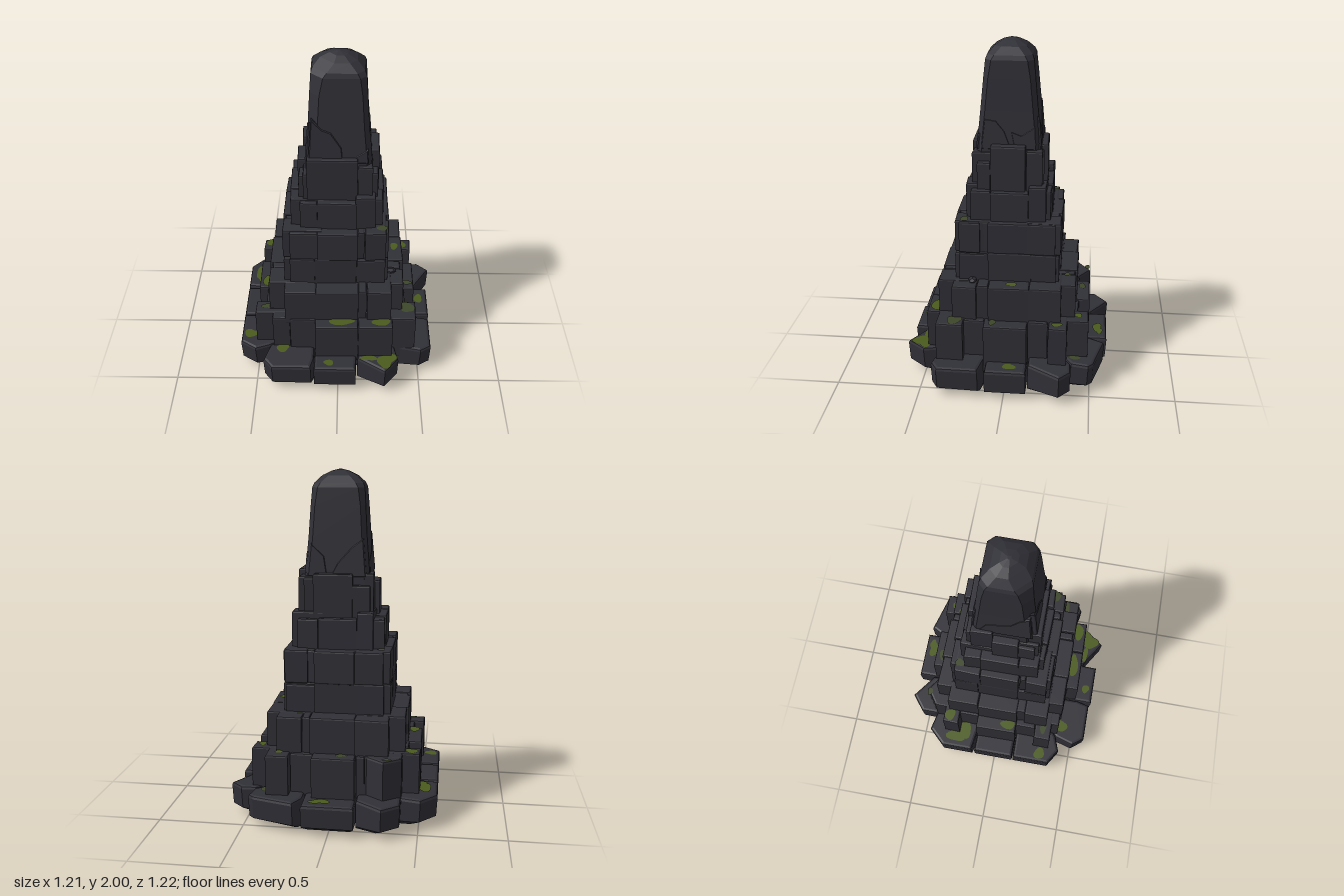
import * as THREE from 'three';
import { mergeGeometries } from 'three/addons/utils/BufferGeometryUtils.js';

const material = (name, color) => {
  const m = new THREE.MeshStandardMaterial({ color });
  m.name = name;
  return m;
};

export function createModel() {
  const model = new THREE.Group();
  const stone = material('dark stone', 0x303037);
  const moss = material('moss', 0x4a5b1d);
  const paleMoss = material('thin moss', 0x3d472a);

  let seed = 7;
  const rand = () => (seed = (seed * 16807) % 2147483647) / 2147483647;
  const wobble = (a) => (rand() - 0.5) * 2 * a;

  const add = (name, geometries, mat = stone) => {
    const mesh = new THREE.Mesh(mergeGeometries(geometries), mat);
    mesh.name = name;
    model.add(mesh);
  };

  // Bevelled stone from a plan outline of [x, z] points
  const prism = (points, y0, y1, bevel = 0.014) => {
    const shape = new THREE.Shape(points.map(([x, z]) => new THREE.Vector2(x, -z)));
    return new THREE.ExtrudeGeometry(shape, {
      depth: y1 - y0 - 2 * bevel, bevelThickness: bevel, bevelSize: bevel,
      bevelOffset: -bevel, bevelSegments: 2,
    }).rotateX(-Math.PI / 2).translate(0, y0 + bevel, 0);
  };

  // Slightly irregular block
  const block = (x0, x1, z0, z1, y0, y1) => prism(
    [[x0, z0], [x1, z0], [x1, z1], [x0, z1]].map(([x, z]) => [x + wobble(0.004), z + wobble(0.004)]),
    y0, y1 - rand() * 0.007, 0.01);

  // A row of blocks on one side; spans are [from, to, reach, optional top]
  const row = (side, spans, depth, y0, y1) => spans.map(([a, b, reach, top = y1]) => {
    const inner = depth + wobble(0.03);
    if (side === 'front') return block(a, b, inner, reach, y0, top);
    if (side === 'back') return block(a, b, -reach, -inner, y0, top);
    if (side === 'left') return block(inner, reach, a, b, y0, top);
    return block(-reach, -inner, a, b, y0, top);
  });
  const course = (name, y0, y1, inner, sides) =>
    add(name, Object.entries(sides).flatMap(([s, spans]) => row(s, spans, inner, y0, y1)));

  // Base ring of spreading foundation stones, corner stones undercut at the ground
  const foundation = [
    [[-0.147, -0.6], [0.15, -0.6], [0.152, -0.3], [-0.147, -0.3]],
    [[-0.4, -0.53], [-0.3, -0.61], [-0.15, -0.5], [-0.147, -0.3], [-0.32, -0.3], [-0.4, -0.4]],
    [[-0.51, -0.45], [-0.395, -0.425], [-0.3, -0.28], [-0.33, -0.128], [-0.45, -0.13], [-0.605, -0.152], [-0.605, -0.35]],
    [[-0.605, -0.132], [-0.605, 0.124], [-0.31, 0.124], [-0.31, -0.128]],
    [[-0.605, 0.13], [-0.605, 0.365], [-0.51, 0.425], [-0.42, 0.392], [-0.28, 0.3], [-0.32, 0.126]],
    [[-0.42, 0.392], [-0.455, 0.51], [-0.4, 0.58], [-0.165, 0.58], [-0.146, 0.5], [-0.146, 0.29], [-0.3, 0.29]],
    [[-0.145, 0.592], [0.11, 0.592], [0.118, 0.31], [-0.145, 0.31]],
    [[0.12, 0.5], [0.285, 0.607], [0.37, 0.5], [0.348, 0.395], [0.29, 0.29], [0.12, 0.31]],
    [[0.575, 0.15], [0.575, 0.39], [0.51, 0.43], [0.35, 0.395], [0.28, 0.28], [0.32, 0.112], [0.4, 0.115]],
    [[0.58, -0.132], [0.58, 0.11], [0.31, 0.11], [0.31, -0.132]],
    [[0.607, -0.325], [0.535, -0.39], [0.45, -0.387], [0.29, -0.29], [0.32, -0.134], [0.49, -0.138]],
    [[0.2, -0.585], [0.44, -0.52], [0.47, -0.49], [0.45, -0.39], [0.3, -0.29], [0.155, -0.31], [0.155, -0.5]],
  ];
  add('foundation', foundation.map((points) => {
    const g = prism(points, 0, 0.187 + wobble(0.003), 0.018);
    const p = g.attributes.position;
    for (let i = 0; i < p.count; i++) {
      const [x, y, z] = [p.getX(i), p.getY(i), p.getZ(i)];
      const corner = THREE.MathUtils.smoothstep(Math.hypot(x, z), 0.45, 0.65);
      if (y < 0.03) {
        const k = y < 0.012 ? 0.97 - 0.08 * corner : 0.99;
        p.setXYZ(i, x * k, y + 0.035 * corner * (y < 0.012 ? 0.3 : 1), z * k);
      }
    }
    g.computeVertexNormals();
    return g;
  }));

  // Hidden wall closing the joints around the hollow underside
  const ring = new THREE.Shape();
  const square = (path, r) => path.moveTo(-r, -r).lineTo(r, -r).lineTo(r, r).lineTo(-r, r).closePath();
  square(ring, 0.355);
  const hollow = new THREE.Path();
  square(hollow, 0.27);
  ring.holes.push(hollow);
  add('innerWall', [new THREE.ExtrudeGeometry(ring, { depth: 0.36, bevelEnabled: false })
    .rotateX(-Math.PI / 2).translate(0, 0.04, 0)]);

  // Ragged stones hanging inside the hollow, leaving a central opening
  const hanging = [];
  for (let i = 0; i < 4; i++) for (let j = 0; j < 4; j++) {
    if ((i === 1 || i === 2) && (j === 1 || j === 2)) continue;
    const [x, z] = [(i - 2) * 0.145, (j - 2) * 0.145];
    hanging.push(block(x, x + 0.145, z, z + 0.145, 0.08 + rand() * 0.13, 0.4));
  }
  add('undersideStones', hanging);

  // First step
  course('firstStep', 0.1, 0.425, 0.22, {
    front: [[-0.4, -0.29, 0.4], [-0.29, -0.138, 0.41], [-0.138, 0.12, 0.48], [0.12, 0.325, 0.475], [0.325, 0.4, 0.4]],
    back: [[-0.4, -0.19, 0.42], [-0.19, -0.14, 0.42], [-0.14, 0.11, 0.49], [0.11, 0.24, 0.42], [0.24, 0.37, 0.485]],
    left: [[-0.36, -0.25, 0.47], [-0.25, -0.13, 0.41], [-0.13, 0.125, 0.47], [0.125, 0.245, 0.41], [0.245, 0.4, 0.47]],
    right: [[-0.35, -0.25, 0.5], [-0.25, -0.13, 0.43], [-0.13, 0.125, 0.5], [0.125, 0.245, 0.44], [0.245, 0.35, 0.5]],
  });
  add('cornerStone', [prism([[-0.4, -0.42], [-0.3, -0.49], [-0.19, -0.41], [-0.19, -0.25], [-0.4, -0.25]], 0.1, 0.42)]);

  // Second step
  const second = (r, m) => [[-0.32, -0.13, r], [-0.13, m, r + 0.005], [m, 0.17, r - 0.012], [0.17, 0.315, r]];
  course('secondStep', 0.38, 0.635, 0.15, {
    front: second(0.4, 0.12), back: second(0.405, 0.13),
    left: second(0.39, 0.1), right: second(0.415, 0.12),
  });

  // Tall third step in two courses
  const lower = (r) => [[-0.285, -0.14, r], [-0.14, 0.11, r + 0.004, 0.818], [0.11, 0.28, r, 0.8]];
  const upper = (r) => [[-0.28, -0.12, r], [-0.12, 0.115, r + 0.004], [0.115, 0.155, r - 0.014], [0.155, 0.28, r]];
  course('thirdStepLower', 0.6, 0.812, 0.1, { front: lower(0.305), back: lower(0.305), left: lower(0.292), right: lower(0.322) });
  course('thirdStepUpper', 0.802, 1.0, 0.1, { front: upper(0.305), back: upper(0.308), left: upper(0.292), right: upper(0.322) });

  // Fourth step
  const fourth = (r, a, b) => [[-0.22, -0.12, r, a], [-0.12, 0.1, r + 0.005], [0.1, 0.215, r, b]];
  course('fourthStep', 0.97, 1.175, 0.08, {
    front: fourth(0.245, 1.17, 1.21), back: fourth(0.245, 1.21, 1.17),
    left: fourth(0.255, 1.21, 1.18), right: fourth(0.275, 1.17, 1.18),
  });

  // Uneven collar around the spire
  course('spireCollar', 1.15, 1.43, 0.06, {
    front: [[-0.2, -0.175, 0.2, 1.34], [-0.175, 0.11, 0.215, 1.44], [0.11, 0.19, 0.205, 1.39]],
    back: [[-0.19, -0.09, 0.21, 1.36], [-0.09, 0.13, 0.22, 1.43], [0.13, 0.19, 0.2, 1.4]],
    left: [[-0.19, -0.1, 0.22, 1.41], [-0.1, 0.1, 0.233, 1.44], [0.1, 0.18, 0.222, 1.34]],
    right: [[-0.18, -0.06, 0.21, 1.43], [-0.06, 0.09, 0.235, 1.37], [0.09, 0.18, 0.225, 1.32]],
  });

  // Inner fill closing the joints between blocks
  add('core', [[0.31, 0.38, 0.625], [0.278, 0.6, 0.985], [0.212, 0.97, 1.16], [0.19, 1.1, 1.3]].map(([r, y0, y1]) =>
    new THREE.BoxGeometry(2 * r, y1 - y0, 2 * r).translate(0, (y0 + y1) / 2, 0)));

  // Tapering spire, one corner worn more, with a blunt domed top: [y, halfX, halfZ, chamfer]
  const rings = [[1.25, 0.192, 0.19, 0.03], [1.44, 0.184, 0.18, 0.028], [1.62, 0.168, 0.162, 0.028],
    [1.8, 0.157, 0.145, 0.028], [1.9, 0.15, 0.135, 0.035], [1.925, 0.14, 0.125, 0.04],
    [1.965, 0.1, 0.088, 0.04], [1.99, 0.05, 0.045, 0.02], [2, 0.01, 0.01, 0.004]];
  const pos = [], index = [];
  rings.forEach(([y, a, b, c]) => {
    const worn = 1.9 * c;
    [[a, b - c], [a - c, b], [worn - a, b], [-a, b - worn], [-a, c - b], [c - a, -b], [a - c, -b], [a, c - b]]
      .forEach(([x, z]) => pos.push(x, y, z));
  });
  for (let i = 0; i < rings.length - 1; i++) for (let j = 0; j < 8; j++) {
    const a = i * 8 + j, b = i * 8 + (j + 1) % 8;
    index.push(a, a + 8, b, b, a + 8, b + 8);
  }
  const top = (rings.length - 1) * 8;
  for (let j = 1; j < 7; j++) index.push(top, top + j + 1, top + j);
  const spire = new THREE.BufferGeometry();
  spire.setAttribute('position', new THREE.Float32BufferAttribute(pos, 3));
  spire.setIndex(index);
  const spireFlat = spire.toNonIndexed();
  spireFlat.computeVertexNormals();
  add('spire', [spireFlat]);

  // Cracked slabs leaning against each spire face, outlines in [u, height above 1.4]
  const slabs = [
    [[[-0.17, 0], [0.03, 0], [0.02, 0.1], [-0.04, 0.19], [-0.09, 0.21], [-0.15, 0.27]], [[0.04, 0], [0.17, 0], [0.165, 0.09], [0.1, 0.05]]],
    [[[-0.16, 0], [0.02, 0], [-0.02, 0.11], [-0.07, 0.17], [-0.14, 0.18]], [[0.03, 0], [0.16, 0], [0.15, 0.14], [0.07, 0.09], [0.01, 0.11]]],
    [[[-0.17, 0], [-0.05, 0], [-0.07, 0.12], [-0.15, 0.19]], [[-0.04, 0], [0.17, 0], [0.15, 0.22], [0.08, 0.17], [0.0, 0.08]]],
    [[[-0.15, 0], [0.16, 0], [0.14, 0.24], [0.08, 0.2], [0.03, 0.13], [-0.1, 0.1]]],
  ];
  add('crackedSlabs', slabs.flatMap((face, i) => face.map((pts) =>
    new THREE.ExtrudeGeometry(new THREE.Shape(pts.map(([u, v]) => new THREE.Vector2(u, v))), {
      depth: 0.015, bevelThickness: 0.008, bevelSize: 0.008, bevelOffset: -0.008, bevelSegments: 1,
    }).rotateX(-0.085).translate(0, 1.4, i % 2 ? 0.166 : 0.163).rotateY(i * Math.PI / 2))));

  // Loose chip on a ledge
  add('rubble', [new THREE.DodecahedronGeometry(0.025).scale(1.4, 0.6, 1).translate(0.315, 0.64, 0.2)]);

  // Moss patches lying on the ledges: [x, z, radiusX, radiusZ, ledge height]
  const patch = ([x, z, rx, rz, y]) => {
    const g = new THREE.CircleGeometry(1, 16);
    const p = g.attributes.position;
    for (let i = 1; i < p.count; i++) {
      const t = ((i - 1) % 16) / 16 * Math.PI * 2;
      const k = 1 + 0.1 * Math.sin(3 * t + x * 20) + 0.08 * Math.sin(2 * t + z * 30);
      p.setXY(i, Math.cos(t) * k, Math.sin(t) * k);
    }
    return g.scale(rx, rz, 1).rotateX(-Math.PI / 2).translate(x, y + 0.004, z);
  };
  const [l0, l1, l2, l3] = [0.188, 0.425, 0.635, 1.0];
  add('moss', [[0.04, -0.542, 0.05, 0.028, l0], [0.08, -0.555, 0.03, 0.022, l0], [0.52, -0.03, 0.028, 0.038, l0],
    [-0.53, -0.27, 0.04, 0.06, l0], [-0.48, -0.215, 0.06, 0.04, l0], [-0.55, 0.3, 0.038, 0.035, l0],
    [-0.34, 0.42, 0.037, 0.037, l0], [-0.055, 0.54, 0.03, 0.023, l0], [0.285, 0.53, 0.045, 0.05, l0],
    [0.32, 0.495, 0.04, 0.035, l0], [0.19, 0.5, 0.05, 0.02, l0],
    [0.02, 0.43, 0.075, 0.028, l1], [0.26, 0.43, 0.055, 0.03, l1], [-0.45, 0.07, 0.027, 0.05, l1],
    [-0.45, -0.31, 0.038, 0.033, l1], [0.42, -0.3, 0.022, 0.03, l1], [0.3, -0.42, 0.022, 0.026, l1],
    [0.345, -0.03, 0.024, 0.032, l2]].map(patch), moss);
  add('thinMoss', [[0.43, 0.075, 0.03, 0.022, l1], [0.42, 0.3, 0.045, 0.045, l1], [-0.06, -0.44, 0.037, 0.02, l1],
    [-0.43, 0.3, 0.04, 0.02, l1], [0.39, -0.41, 0.02, 0.035, l0], [-0.32, -0.47, 0.03, 0.015, l1],
    [0.255, 0.25, 0.03, 0.024, l3], [0.19, -0.35, 0.018, 0.02, l2], [-0.265, -0.25, 0.024, 0.026, l3]].map(patch), paleMoss);

  return model;
}
